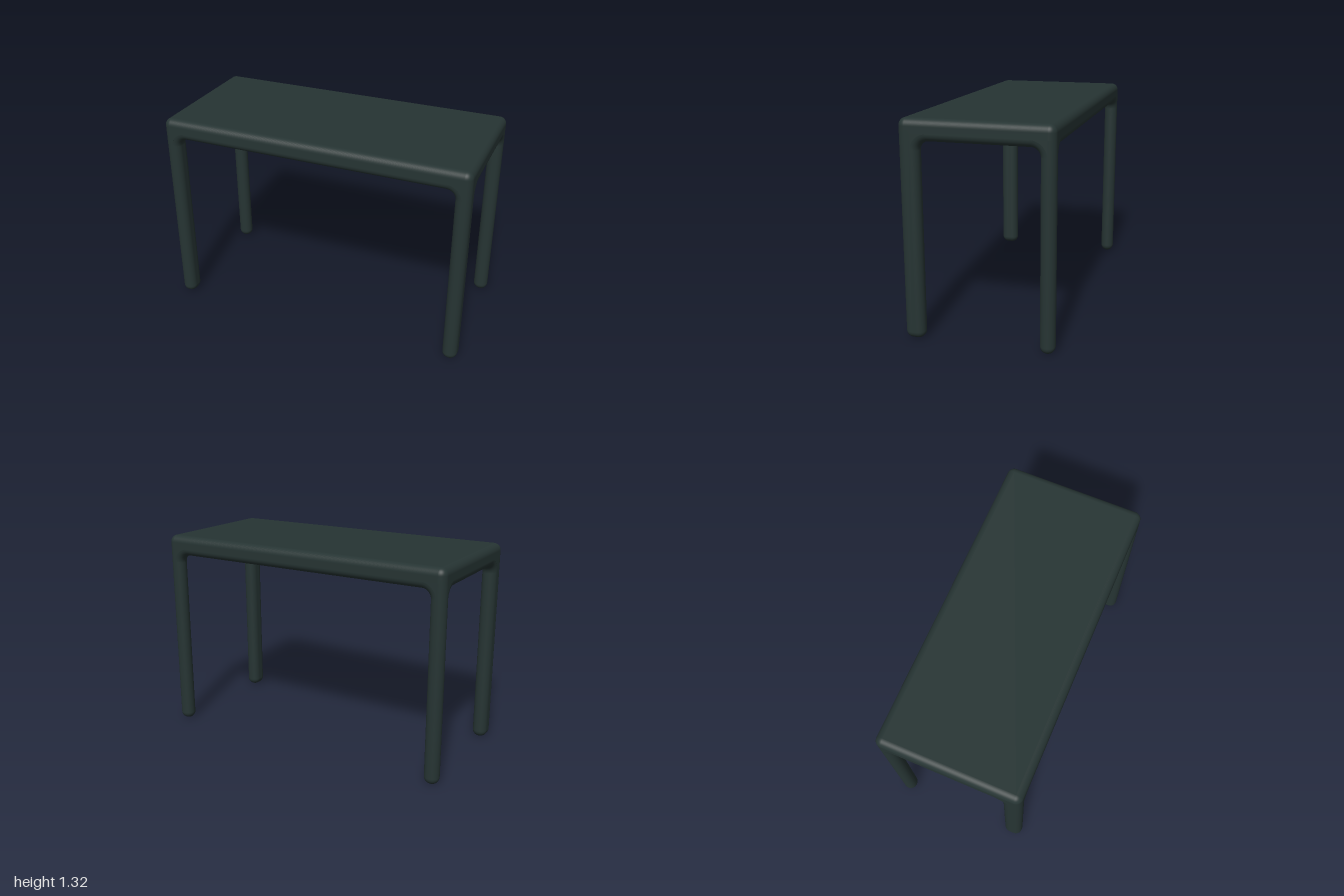
import * as THREE from 'three';
import { RoundedBoxGeometry } from 'three/addons/geometries/RoundedBoxGeometry.js';

const HALF_X = 1, HALF_Z = 0.455;      // table footprint
const TOP = 1.32, UNDER = 1.19;        // slab faces
const EDGE = 0.045;                    // rounding of every edge
const BEND = 0.055;                    // inner bend between leg and top
const LEG_W = 0.095;

export function createModel() {
  const table = new THREE.Group();
  table.name = 'table';
  const paint = new THREE.MeshStandardMaterial({ color: 0x263433 });
  paint.name = 'dark green grey';

  const add = (parent, name, geometry) => {
    const mesh = new THREE.Mesh(geometry, paint);
    mesh.name = name;
    parent.add(mesh);
    return mesh;
  };

  // Concave bend with rounded edges, curving from a leg's inner face to the slab
  function addBend(name, width, x, z, angle) {
    const bend = new THREE.Group();
    bend.name = name;
    const profile = [];
    for (const side of [1, -1]) {
      for (let i = 0; i <= 6; i++) {
        const a = (i / 6) * Math.PI / 2;
        const t = side > 0 ? a : Math.PI / 2 - a;
        profile.push(new THREE.Vector2(
          BEND + EDGE * (1 - Math.sin(t)),
          side * (width / 2 - EDGE + EDGE * Math.cos(t))
        ));
      }
    }
    const sweep = new THREE.LatheGeometry(profile, 10, Math.PI / 2, Math.PI / 2);
    add(bend, name + 'Curve', sweep.rotateX(Math.PI / 2));

    // Solid corner behind the curve
    const q = BEND + EDGE;
    const corner = new THREE.Shape();
    corner.moveTo(q, 0);
    corner.lineTo(q, q);
    corner.lineTo(0, q);
    corner.absarc(0, 0, q, Math.PI / 2, 0, true);
    const fill = new THREE.ExtrudeGeometry(corner, { depth: width, bevelEnabled: false, curveSegments: 10 });
    add(bend, name + 'Corner', fill.translate(0, 0, -width / 2));

    bend.position.set(x, UNDER - BEND, z);
    bend.rotation.y = angle;
    table.add(bend);
  }

  // Table top
  const slab = new RoundedBoxGeometry(HALF_X * 2, TOP - UNDER, HALF_Z * 2, 6, EDGE);
  add(table, 'tableTop', slab).position.y = (TOP + UNDER) / 2;

  // Legs: the front pair is deeper than the back pair
  const legHeight = TOP - 0.02;
  for (const sz of [1, -1]) {
    const depth = sz > 0 ? 0.12 : 0.0901;
    for (const sx of [1, -1]) {
      const name = (sz > 0 ? 'front' : 'back') + (sx > 0 ? 'Left' : 'Right');
      const x = sx * (HALF_X - LEG_W / 2);
      const z = sz * (HALF_Z - depth / 2);
      const leg = add(table, name + 'Leg', new RoundedBoxGeometry(LEG_W, legHeight, depth, 6, EDGE));
      leg.position.set(x, legHeight / 2, z);

      addBend(name + 'LongBend', depth, sx * (HALF_X - LEG_W - BEND), z, sx > 0 ? 0 : Math.PI);
      addBend(name + 'ShortBend', LEG_W, x, sz * (HALF_Z - depth - BEND), -sz * Math.PI / 2);
    }
  }
  return table;
}
